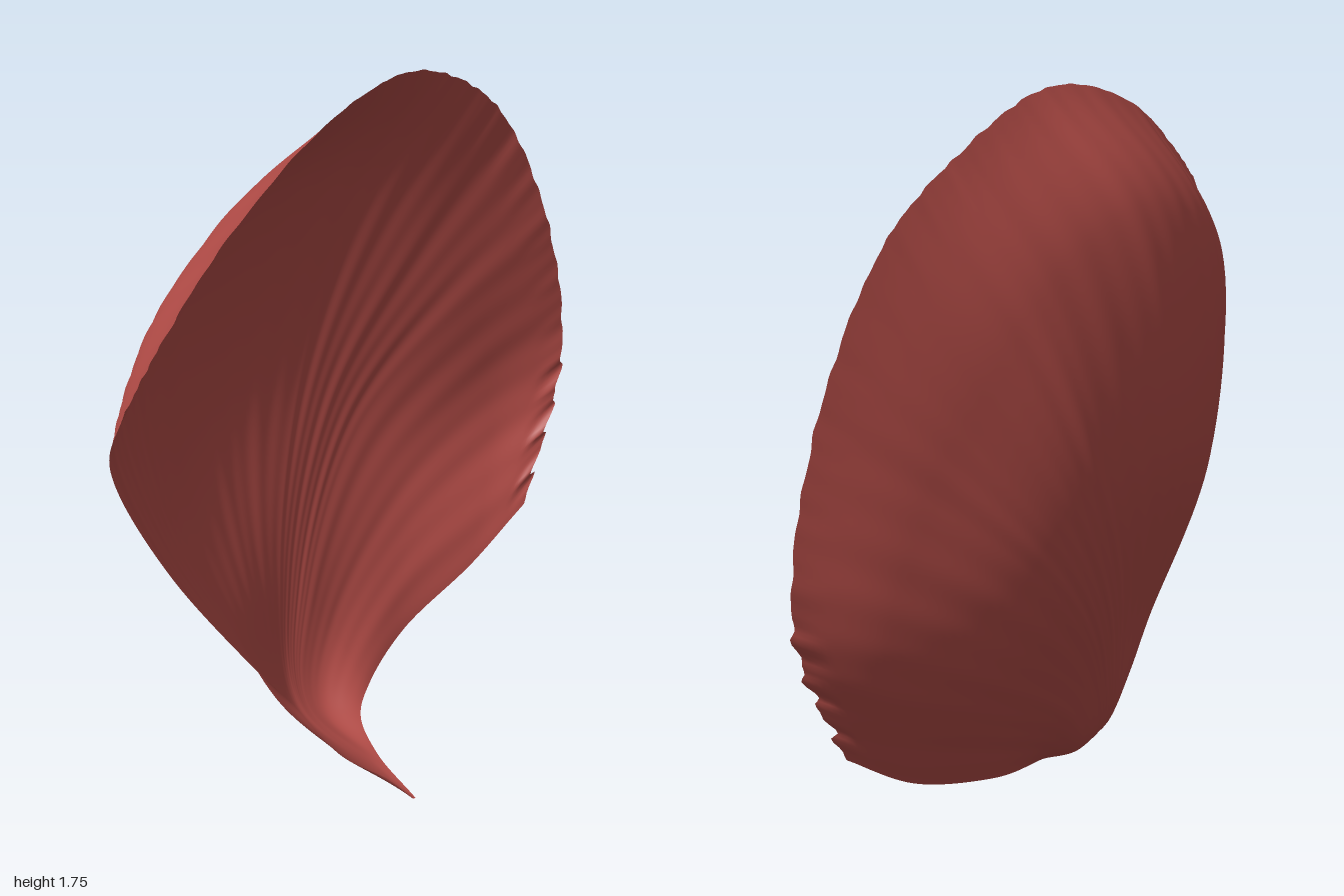
import * as THREE from 'three';

// Ribs of the petal, from front edge to back edge; each runs neck -> rim as [x, y, z]
const RIBS = [
  [[0, .2, .25], [-.05, .4, .385], [-.1, .75, .61], [-.05, 1.15, .85], [.13, 1.42, 1]],
  [[-.03, .18, .24], [-.1, .4, .345], [-.17, .78, .53], [-.095, 1.25, .75], [.125, 1.505, .89]],
  [[-.06, .16, .22], [-.14, .4, .3], [-.24, .81, .42], [-.16, 1.36, .55], [.115, 1.65, .65]],
  [[-.08, .13, .17], [-.19, .45, .17], [-.325, .91, .1], [-.22, 1.48, .1], [.035, 1.76, .1]],
  [[-.09, .11, .13], [-.2, .42, .04], [-.31, .86, -.2], [-.23, 1.37, -.35], [-.065, 1.68, -.45]],
  [[-.085, .1, .11], [-.19, .37, -.01], [-.28, .76, -.31], [-.18, 1.16, -.55], [-.035, 1.5, -.73]],
  [[-.08, .09, .09], [-.17, .32, -.05], [-.245, .65, -.4], [-.12, .93, -.7], [.02, 1.12, -.92]],
  [[-.05, .06, .05], [-.12, .2, -.1], [-.15, .42, -.5], [-.07, .58, -.8], [.04, .69, -.99]],
  [[.03, .04, 0], [-.01, .07, -.1], [-.04, .12, -.32], [0, .2, -.6], [.05, .32, -.8]],
];

// Each rib continues into a channelled stem that narrows to the tip
function ribCurve(points, i) {
  const t = i / (RIBS.length - 1), rise = (1 - t) ** 2;
  const tip = new THREE.Vector3(.32 - .06 * rise * rise, .01 + .06 * rise, .22 - .04 * t);
  const stem = new THREE.Vector3(.13, .01 + .085 * rise, .235 - .16 * t);
  return new THREE.CatmullRomCurve3([tip, stem, ...points.map((p) => new THREE.Vector3(...p))]);
}

function petalGeometry(nu, nv) {
  const ribs = RIBS.map(ribCurve);
  const positions = [], index = [];
  for (let j = 0; j <= nv; j++) {
    const v = j / nv;
    const across = new THREE.CatmullRomCurve3(ribs.map((c) => c.getPoint(v)));
    for (let i = 0; i <= nu; i++) {
      const u = i / nu, p = across.getPoint(u);
      // fine ridges fanning out from the stem, fading at the neck
      const fade = THREE.MathUtils.smoothstep(v, .3, .8);
      p.x += fade * (.001 * Math.sin(u * 97 + 5 * v) + .001 * Math.sin(u * 171 - 7 * v));
      // nibbled rim, roughest low on the back edge
      const rough = THREE.MathUtils.smoothstep(v, .93, 1)
        * (.002 + .014 * THREE.MathUtils.smoothstep(u, .84, .92));
      const n = rough * (Math.sin(u * 190) + .6 * Math.sin(u * 331 + 1));
      p.z += n;
      p.y -= n * .5;
      positions.push(p.x, Math.max(p.y, 0), THREE.MathUtils.clamp(p.z, -1, 1));
    }
  }
  const row = nu + 1;
  for (let j = 0; j < nv; j++) {
    for (let i = 0; i < nu; i++) {
      const a = j * row + i, b = a + 1, c = a + row, d = c + 1;
      index.push(a, b, c, b, d, c);
    }
  }
  const geometry = new THREE.BufferGeometry();
  geometry.setAttribute('position', new THREE.Float32BufferAttribute(positions, 3));
  geometry.setIndex(index);
  geometry.computeVertexNormals();
  return geometry;
}

export function createModel() {
  const group = new THREE.Group();
  group.name = 'curvedPetal';
  const red = new THREE.MeshStandardMaterial({ color: 0xb34c47, side: THREE.DoubleSide });
  red.name = 'dusty red';
  const petal = new THREE.Mesh(petalGeometry(240, 80), red);
  petal.name = 'petal';
  group.add(petal);
  return group;
}
